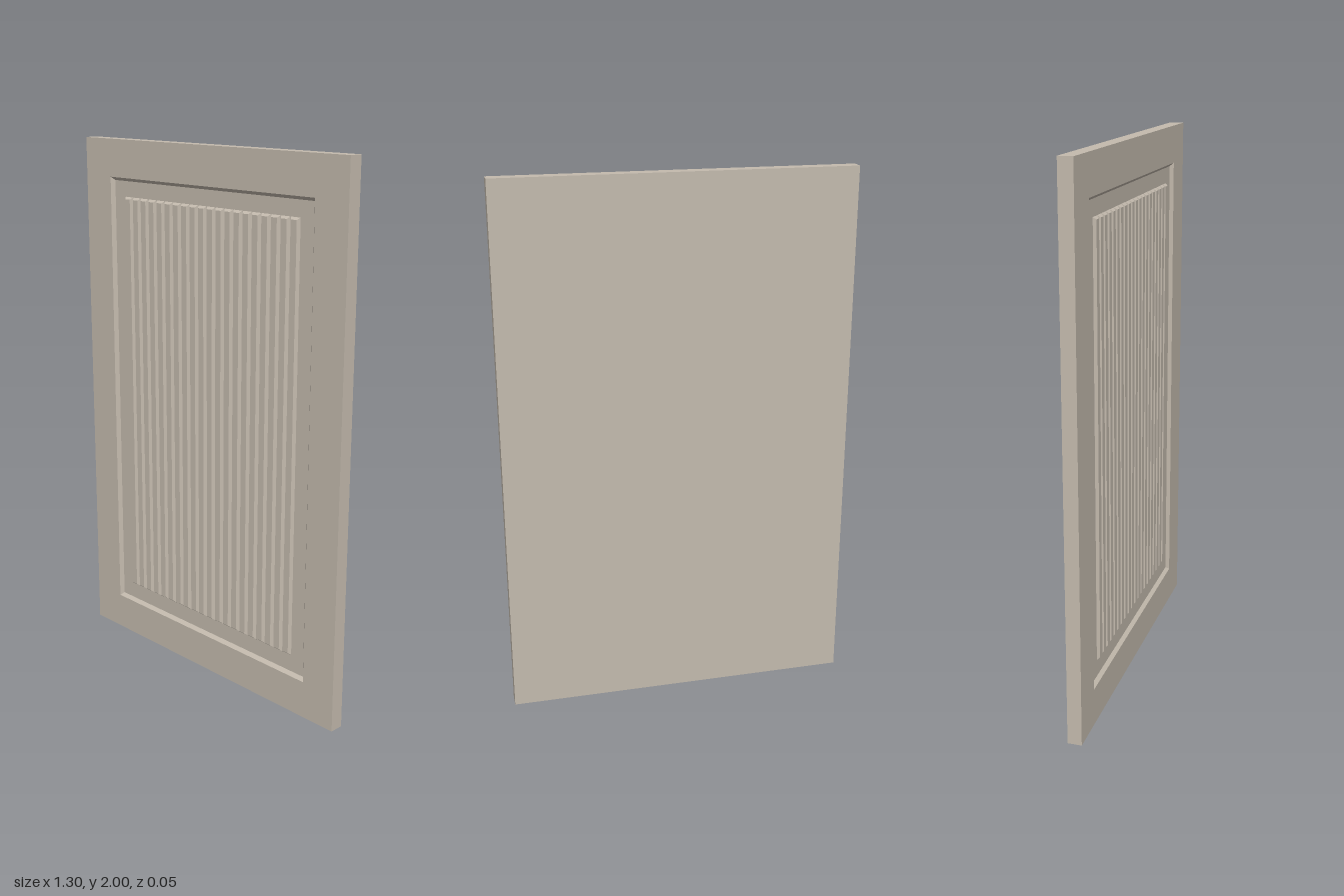
import * as THREE from 'three';

const material = new THREE.MeshStandardMaterial({ color: 0xc4bbae, flatShading: true });

// Lofts rectangular rings [halfWidth, halfHeight, z], listed from back to front, and caps both ends.
function loftRings(rings) {
  const positions = [];
  const corners = ([w, h, z]) => [[-w, -h, z], [w, -h, z], [w, h, z], [-w, h, z]];
  const quad = (a, b, c, d) => positions.push(...a, ...b, ...c, ...a, ...c, ...d);
  const loops = rings.map(corners);
  for (let i = 0; i < loops.length - 1; i++) {
    for (let k = 0; k < 4; k++) {
      const n = (k + 1) % 4;
      quad(loops[i][k], loops[i][n], loops[i + 1][n], loops[i + 1][k]);
    }
  }
  const [a, b, c, d] = loops[0];
  quad(d, c, b, a);
  quad(...loops[loops.length - 1]);
  const geometry = new THREE.BufferGeometry();
  geometry.setAttribute('position', new THREE.Float32BufferAttribute(positions, 3));
  geometry.computeVertexNormals();
  return geometry;
}

export function createModel() {
  const model = new THREE.Group();
  model.name = 'cabinetDoor';
  const frontZ = 0.026, recessZ = 0.013;

  // Door slab with a chamfered, recessed centre panel
  const slab = new THREE.Mesh(loftRings([
    [0.65, 1, -frontZ],
    [0.65, 1, frontZ],
    [0.51, 0.86, frontZ],
    [0.498, 0.848, recessZ],
  ]), material);
  slab.name = 'doorFrameAndPanel';
  slab.position.y = 1;
  model.add(slab);

  // Row of raised vertical slats with bevelled edges and ends
  const slats = new THREE.Group();
  slats.name = 'slats';
  const count = 20, pitch = 0.044, halfWidth = 0.021, halfHeight = 0.787, bevel = 0.008;
  const slatGeometry = loftRings([
    [halfWidth, halfHeight, recessZ - 0.002],
    [halfWidth, halfHeight, recessZ],
    [halfWidth - bevel, halfHeight - bevel, recessZ + 0.01],
  ]);
  for (let i = 0; i < count; i++) {
    const slat = new THREE.Mesh(slatGeometry, material);
    slat.name = 'slat' + (i + 1);
    slat.position.set((i - (count - 1) / 2) * pitch, 1.003, 0);
    slats.add(slat);
  }
  model.add(slats);
  return model;
}
